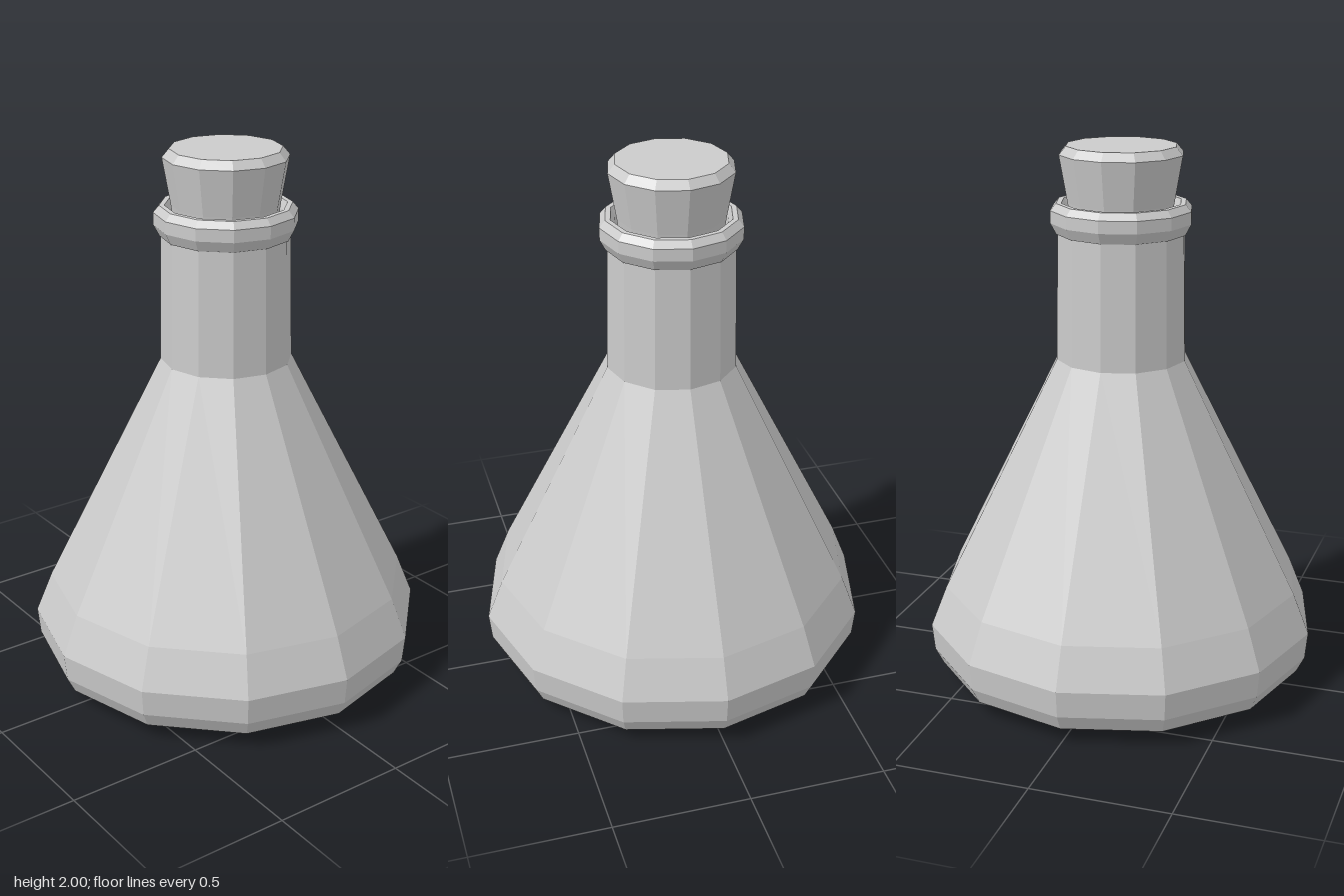
import * as THREE from 'three';

const SIDES = 12;

// Faceted solid of revolution from [radius, height] pairs, listed bottom to top
function turned(name, profile) {
  const points = profile.map(([r, y]) => new THREE.Vector2(r, y));
  const material = new THREE.MeshStandardMaterial({ color: 0xcccccc, flatShading: true });
  const mesh = new THREE.Mesh(new THREE.LatheGeometry(points, SIDES), material);
  mesh.name = name;
  return mesh;
}

export function createModel() {
  const model = new THREE.Group();
  model.name = 'corkedFlask';

  // Conical body with chamfered base, rising into the neck
  model.add(turned('flaskBody', [
    [0, 0], [0.57, 0], [0.69, 0.06], [0.72, 0.12], [0.73, 0.22],
    [0.67, 0.37], [0.24, 1.23], [0.232, 1.7],
  ]));

  // Bevelled lip around the mouth, turning down inside the neck
  model.add(turned('lip', [
    [0.225, 1.69], [0.237, 1.69], [0.258, 1.73], [0.258, 1.775],
    [0.237, 1.8], [0.218, 1.8], [0.205, 1.77], [0.19, 1.68],
  ]));

  // Tapered stopper with a bevelled top edge
  model.add(turned('stopper', [
    [0, 1.62], [0.17, 1.62], [0.195, 1.8], [0.225, 1.97], [0.2, 2], [0, 2],
  ]));

  return model;
}
